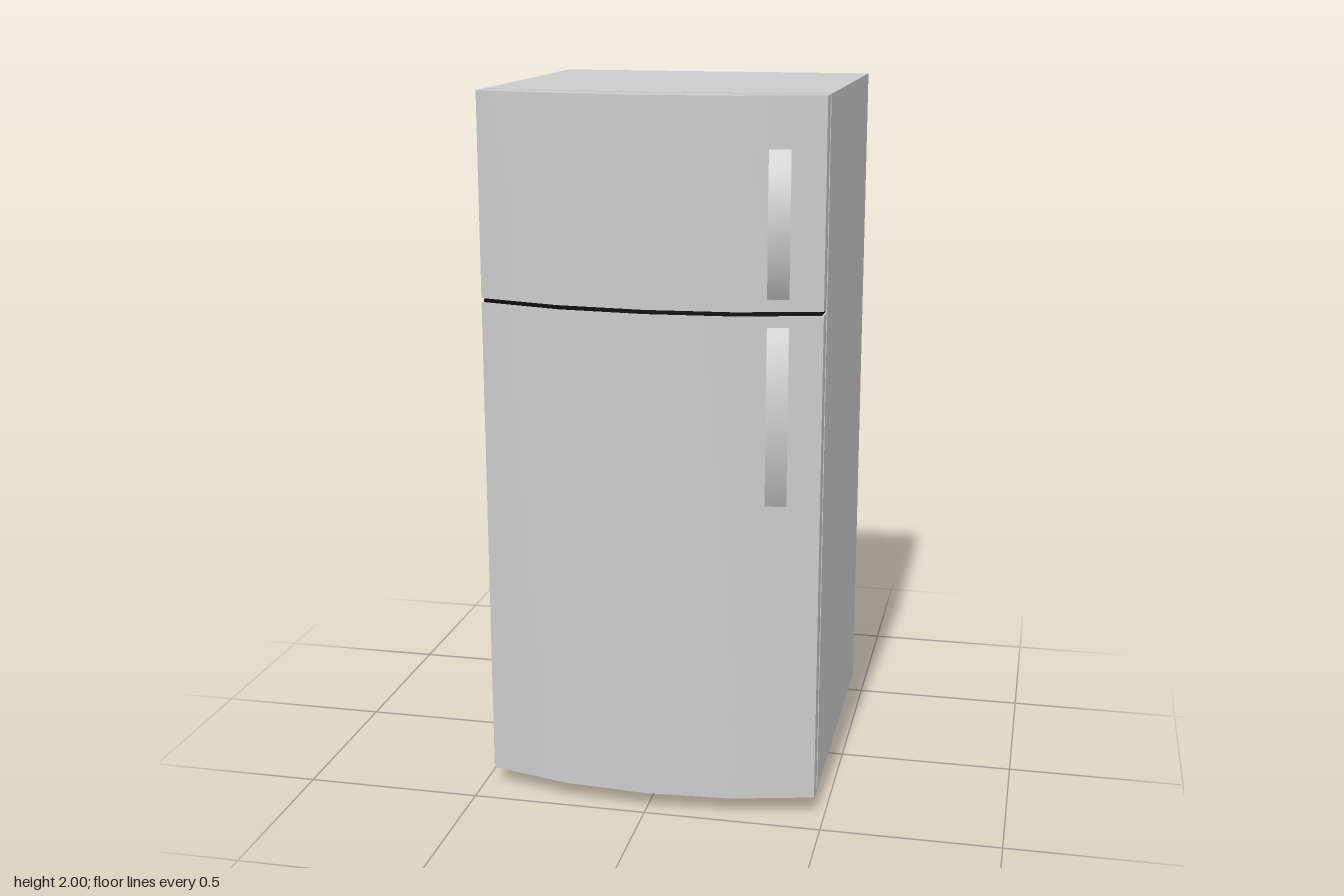
import * as THREE from 'three';
import { toCreasedNormals } from 'three/addons/utils/BufferGeometryUtils.js';

const grey = new THREE.MeshStandardMaterial({ color: 0xcccccc });
const black = new THREE.MeshStandardMaterial({ color: 0x0a0a0a });

// Bowed lines across the width, as [x, z] from the right side to the left
const W = 0.47;
const bow = (edge, mid, centre, midX, w = W) =>
  [[-w, edge], [-midX, mid], [0, centre], [midX, mid], [w, edge]];
const flat = (z, w = W) => [[-w, z], [w, z]];

export function createModel() {
  const model = new THREE.Group();
  const add = (name, geometry, material = grey) => {
    const mesh = new THREE.Mesh(geometry, material);
    mesh.name = name;
    model.add(mesh);
    return mesh;
  };

  // Upright slab whose plan lies between a back line and a front line
  const slab = (back, front, y0, y1) => {
    const outline = [...front, ...[...back].reverse()];
    const shape = new THREE.Shape(outline.map(([x, z]) => new THREE.Vector2(x, -z)));
    const g = new THREE.ExtrudeGeometry(shape, { depth: y1 - y0, bevelEnabled: false });
    g.rotateX(-Math.PI / 2).translate(0, y0, 0);
    return toCreasedNormals(g, 0.4);
  };

  const bottom = 0.05, top = 2, split = 1.435, gap = 0.006;

  // Cabinet with a slightly bowed front
  add('cabinet', slab(flat(-0.51), bow(0.343, 0.365, 0.373, 0.17), bottom, top));

  // Bowed doors
  const doorBack = bow(0.358, 0.384, 0.395, 0.17);
  const doorFront = bow(0.407, 0.463, 0.48, 0.24);
  add('freezerDoor', slab(doorBack, doorFront, split + gap, top));
  add('fridgeDoor', slab(doorBack, doorFront, bottom, split - gap));

  // Dark seals: behind the doors and between them
  const w = W - 0.005;
  add('doorSeal', slab(bow(0.34, 0.362, 0.37, 0.17, w), bow(0.36, 0.386, 0.397, 0.17, w),
    bottom + 0.003, top - 0.003), black);
  add('dividerSeal', slab(bow(0.358, 0.384, 0.395, 0.17, w), bow(0.402, 0.459, 0.476, 0.24, w),
    split - gap, split + gap), black);

  // Curved strap handles, turned to follow the door face
  const handle = (name, y0, y1) => {
    const h = (y1 - y0) / 2, reach = 0.072, n = 20, width = 0.058;
    const arc = (start, depth, half) => Array.from({ length: n + 1 }, (_, i) => {
      const t = -1 + (2 * i) / n;
      return new THREE.Vector2(start + depth * (1 - t * t), t * half);
    });
    const shape = new THREE.Shape([
      ...arc(0.008, reach - 0.008, h),
      ...arc(-0.006, reach - 0.012, h - 0.004).reverse(),
    ]);
    const g = new THREE.ExtrudeGeometry(shape, { depth: width, bevelEnabled: false });
    g.translate(0, 0, -width / 2).rotateY(-Math.PI / 2);
    const mesh = add(name, toCreasedNormals(g, 0.5));
    mesh.position.set(0.353, (y0 + y1) / 2, 0.435);
    mesh.rotation.y = 0.15;
  };
  handle('freezerHandle', 1.475, 1.865);
  handle('fridgeHandle', 0.91, 1.4);

  // Four square feet
  for (const x of [-0.342, 0.342]) {
    for (const z of [0.23, -0.412]) {
      add('foot', new THREE.BoxGeometry(0.086, 0.06, 0.1)).position.set(x, 0.03, z);
    }
  }

  return model;
}
